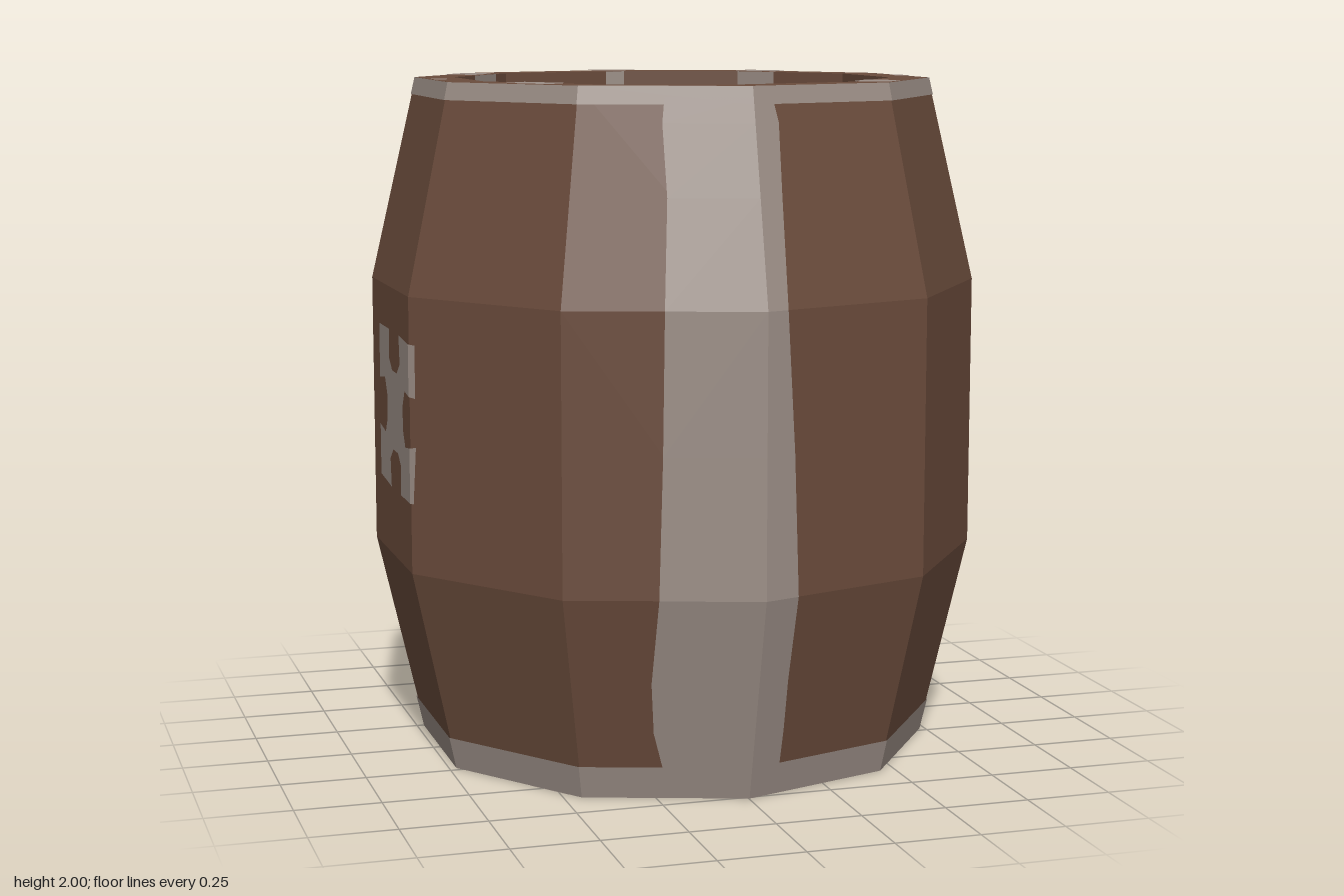
import * as THREE from 'three';

const SIDES = 10, STEP = Math.PI / 5, TAN = Math.tan(Math.PI / 10);
const R_END = 0.765, R_MID = 0.905, R_IN = 0.65, FLOOR = 1.85, LIFT = 0.003;
const APOTHEM = Math.cos(Math.PI / 10);

// Corner radius of the barrel wall at height y
function wallRadius(y) {
  if (y < 0.6) return R_END + (R_MID - R_END) * y / 0.6;
  if (y > 1.4) return R_END + (R_MID - R_END) * (2 - y) / 0.6;
  return R_MID;
}

// Keeps the part of a polygon where n . p <= d
function clip(poly, nx, ny, d) {
  const out = [];
  poly.forEach((p, i) => {
    const q = poly[(i + 1) % poly.length];
    const a = p[0] * nx + p[1] * ny - d, b = q[0] * nx + q[1] * ny - d;
    if (a <= 0) out.push(p);
    if ((a < 0 && b > 0) || (a > 0 && b < 0)) {
      const t = a / (a - b);
      out.push([p[0] + (q[0] - p[0]) * t, p[1] + (q[1] - p[1]) * t]);
    }
  });
  return out;
}

// Keeps the part of a polygon inside a ten-sided outline
function clipToDecagon(poly, r) {
  for (let i = 0; i < SIDES; i++) {
    const a = (i + 0.5) * STEP;
    poly = clip(poly, Math.sin(a), Math.cos(a), r * APOTHEM);
  }
  return poly;
}

export function createModel() {
  const group = new THREE.Group();
  const wood = new THREE.MeshStandardMaterial({ color: 0x6b4c3c });
  const metal = new THREE.MeshStandardMaterial({ color: 0x9b8e86, side: THREE.DoubleSide });

  function add(name, geometry, material) {
    const flat = geometry.index ? geometry.toNonIndexed() : geometry;
    flat.computeVertexNormals();
    const mesh = new THREE.Mesh(flat, material);
    mesh.name = name;
    group.add(mesh);
  }

  // Flat painted polygon, placed in space by a mapping rule
  function paint(name, poly, map) {
    if (poly.length < 3) return;
    const pts = poly.map(p => new THREE.Vector2(p[0], p[1]));
    const pos = [];
    for (const tri of THREE.ShapeUtils.triangulateShape(pts, []))
      for (const k of tri) pos.push(...map(poly[k][0], poly[k][1]));
    const g = new THREE.BufferGeometry();
    g.setAttribute('position', new THREE.Float32BufferAttribute(pos, 3));
    add(name, g, metal);
  }

  const lathe = pts => new THREE.LatheGeometry(pts.map(p => new THREE.Vector2(p[0], p[1])), SIDES);

  // Barrel shell with flat bottom and recessed lid
  add('barrelBody', lathe([[0, 0], [R_END, 0], [R_MID, 0.6], [R_MID, 1.4], [R_END, 2],
    [R_IN, 2], [R_IN, FLOOR], [0, FLOOR]]), wood);

  // Bands around both ends
  for (const [name, y0, y1] of [['bottomBand', 0, 0.095], ['topBand', 1.95, 2]])
    add(name, lathe([y0, y1].map(y => [wallRadius(y) + LIFT, y])), metal);

  // Upright strips folded over a corner: rows of [y, xMin, xMax]
  function strip(name, side, rows) {
    const at = (x, y) => [x, y, side * (wallRadius(y) + LIFT - Math.abs(x) * TAN)];
    for (let i = 0; i + 1 < rows.length; i++) {
      const [ya, la, ra] = rows[i], [yb, lb, rb] = rows[i + 1];
      if (la < 0) paint(name, [[la, ya], [0, ya], [0, yb], [lb, yb]], at);
      paint(name, [[0, ya], [ra, ya], [rb, yb], [0, yb]], at);
    }
  }
  strip('frontStrip', 1, [[0.06, -0.23, 0.09], [0.2, -0.27, 0.095], [0.35, -0.285, 0.095],
    [0.6, -0.28, 0.105], [1, -0.27, 0.09], [1.4, -0.265, 0.065], [1.7, -0.24, 0.07],
    [1.9, -0.24, 0.075], [1.97, -0.23, 0.06]]);
  strip('backStrip', -1, [[0.06, 0, 0.11], [0.6, 0, 0.11], [1, 0, 0.09],
    [1.4, 0, 0.1], [1.8, 0, 0.08], [1.97, 0, 0.1]]);

  // Notched cross emblems, wrapped over the corner beside a side face
  const half = R_MID * Math.sin(Math.PI / 10), dist = R_MID * APOTHEM + LIFT;
  function emblem(name, side, cu, cy, size, turn) {
    const poly = [];
    for (let k = 0; k < 4; k++) {
      const a = turn - k * Math.PI / 2, c = Math.cos(a) * size, s = Math.sin(a) * size;
      for (const [x, y] of [[-0.3, 1], [-0.35, 0.64], [-0.15, 0.5], [0.15, 0.5],
        [0.35, 0.64], [0.3, 1], [1, 0.95]])
        poly.push([cu + x * c - y * s, cy + x * s + y * c]);
    }
    const fold = (u, y) => {
      const over = Math.max(0, u - half);
      const x = dist - over * Math.sin(STEP), z = Math.min(u, half) + over * Math.cos(STEP);
      return [side * x, y, -side * z];
    };
    paint(name, clip(poly, 1, 0, half), fold);
    paint(name, clip(poly, -1, 0, -half), fold);
  }
  emblem('leftEmblem', 1, 0.236, 1.057, 0.225, 0.3);
  emblem('rightEmblem', -1, 0.07, 1.04, 0.235, 0);

  // Diagonal crosses on the lid and the bottom
  const lidY = FLOOR + LIFT, rimY = 2 + 0.002;
  function arm(cx, sx, sz, w) {
    const k = w * Math.SQRT1_2;
    return [[cx - k * sx, k * sz], [cx + k * sx, -k * sz],
      [cx + (1 + k) * sx, (1 - k) * sz], [cx + (1 - k) * sx, (1 + k) * sz]];
  }
  for (const sx of [-1, 1]) for (const sz of [-1, 1]) {
    const top = arm(sx < 0 ? -0.09 : -0.06, sx, sz, 0.08);
    const n = [sx * Math.sin(1.5 * STEP), sz * Math.cos(1.5 * STEP)];
    const onLid = clipToDecagon(top, R_IN);
    paint('lidCross', onLid, (x, z) => [x, lidY, z]);
    paint('bottomCross', clipToDecagon(arm(0, sx, sz, 0.068), R_END), (x, z) => [x, -0.002, z]);
    // Where the arm climbs the recess wall and crosses the rim
    const outer = clipToDecagon(top, R_END);
    paint('rimPatch', clip(outer, -n[0], -n[1], -R_IN * APOTHEM), (x, z) => [x, rimY, z]);
    const ends = onLid.filter(p => Math.abs(p[0] * n[0] + p[1] * n[1] - R_IN * APOTHEM) < 1e-4);
    if (ends.length > 1) {
      const [a, b] = [ends[0], ends[ends.length - 1]];
      paint('recessPatch', [[0, FLOOR], [1, FLOOR], [1, 2], [0, 2]], (t, y) => [
        a[0] + (b[0] - a[0]) * t - n[0] * LIFT, y, a[1] + (b[1] - a[1]) * t - n[1] * LIFT]);
    }
  }

  // Small marks on the rim
  const onRim = (x, z) => [x, rimY, z];
  paint('backRimMark', clip([[-0.11, -0.72], [-0.09, -0.745], [0, -0.765], [0.09, -0.745], [0.11, -0.72],
    [0.05, -0.69], [0.04, -0.63], [-0.04, -0.63], [-0.05, -0.69]], 0, 1, -0.64), onRim);
  paint('recessMark', [[-0.03, FLOOR], [0.03, FLOOR], [0.03, 2], [-0.03, 2]],
    (x, y) => [x, y, -R_IN + LIFT + Math.abs(x) * TAN + 0.01]);
  for (const [x, z] of [[-0.71, 0.02], [0.71, 0.06]]) {
    const dot = [];
    for (let i = 0; i < 10; i++)
      dot.push([x + 0.03 * Math.cos(i * STEP), z + 0.04 * Math.sin(i * STEP)]);
    paint('rimDot', clipToDecagon(dot, R_END), onRim);
  }

  return group;
}
